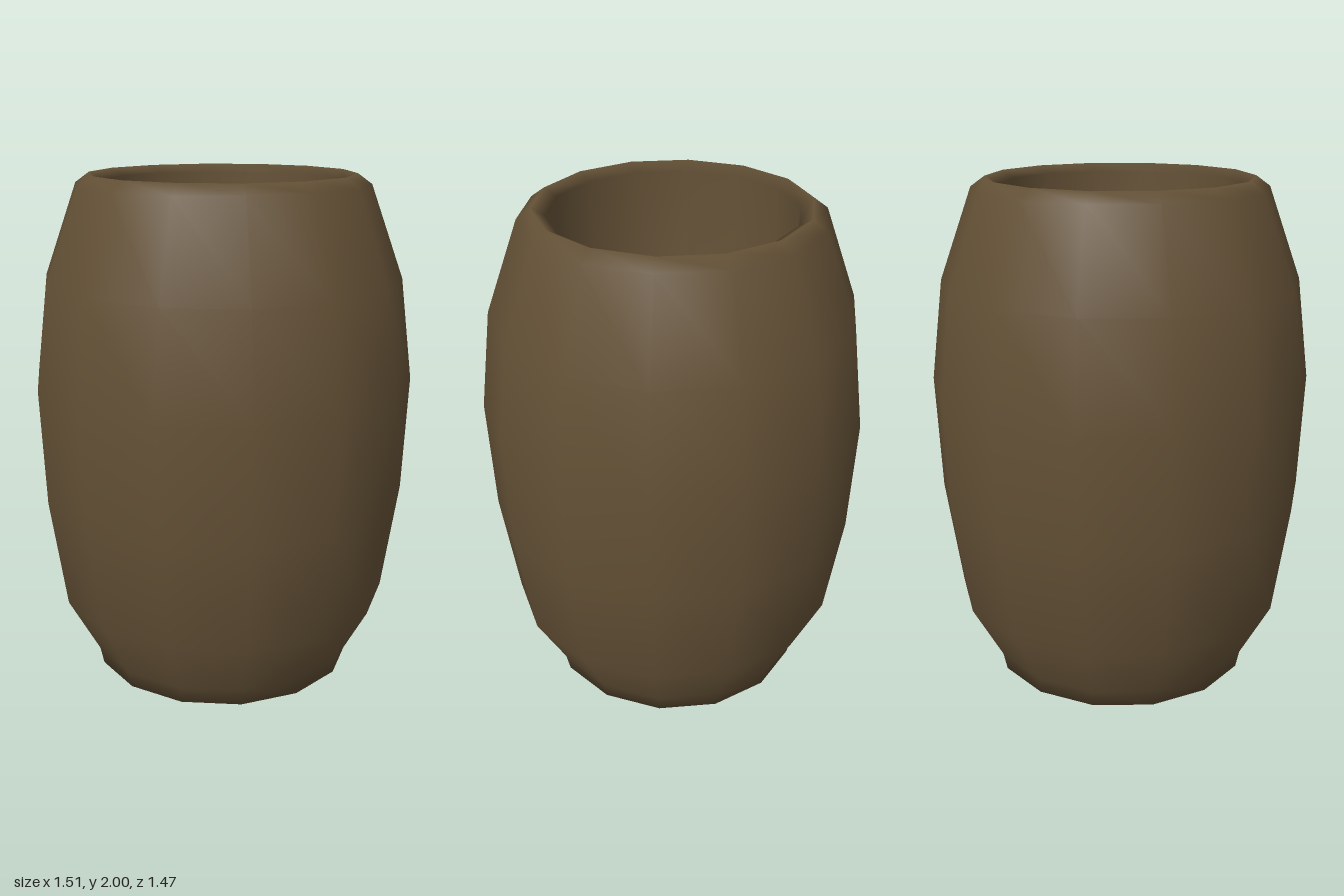
import * as THREE from 'three';

const SIDES = 14;

// Turns a radius/height profile into a faceted, smooth-shaded ring body
function turned(name, profile, material) {
  const points = profile.map(([r, y]) => new THREE.Vector2(r, y));
  const geometry = new THREE.LatheGeometry(points, SIDES, Math.PI / 2);
  const mesh = new THREE.Mesh(geometry, material);
  mesh.name = name;
  return mesh;
}

export function createModel() {
  const model = new THREE.Group();
  model.name = 'pot';

  const clay = new THREE.MeshStandardMaterial({ color: 0x645136 });
  clay.name = 'brownClay';

  // Flat foot and bulging outer wall up to the shoulder
  const wall = [[0, 0], [0.53, 0], [0.545, 0.07], [0.67, 0.3], [0.735, 0.74],
    [0.755, 1.2], [0.705, 1.6], [0.575, 1.96]];

  // Rounded lip, leading over into the hollow
  const lip = [[0.52, 2], [0.47, 1.97]];

  // Straight hollow down to a flat floor
  const hollow = [[0.47, 0.1], [0, 0.1]];

  model.add(turned('body', [...wall, ...lip, ...hollow], clay));
  return model;
}
